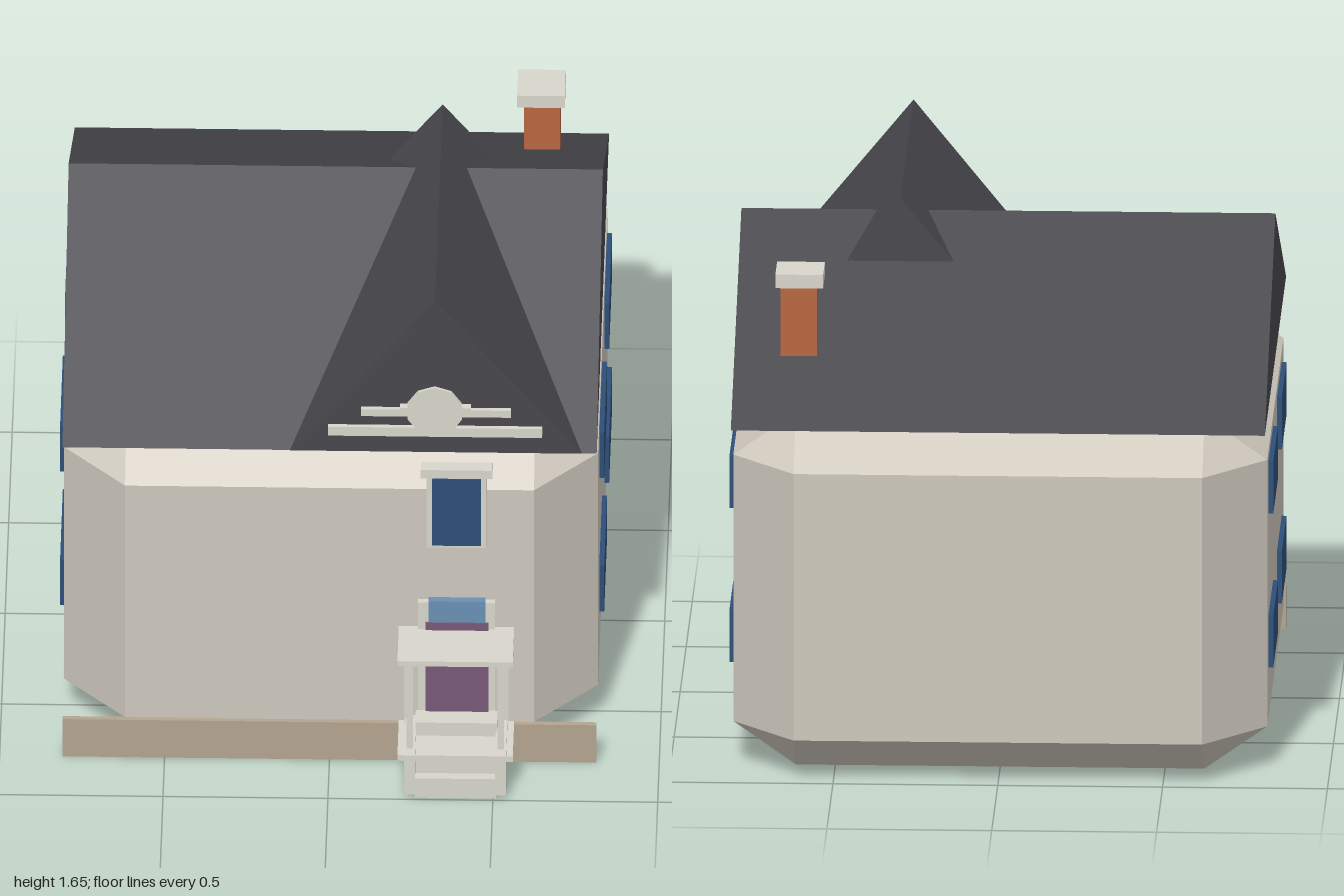
import * as THREE from 'three';
import { ConvexGeometry } from 'three/addons/geometries/ConvexGeometry.js';

const mat = (color) => new THREE.MeshStandardMaterial({ color, flatShading: true });
const WALL = mat(0xcec8bd), ROOF = mat(0x48474c), TRIM = mat(0xd8d6cb), GLASS = mat(0x2c4f78);
const BRICK = mat(0xb8663f), DOOR = mat(0x785878), PALE_GLASS = mat(0x6a90b4), TAN = mat(0xb3a48f);

export function createModel() {
  const house = new THREE.Group();
  house.name = 'house';

  const add = (name, geometry, material) => {
    const mesh = new THREE.Mesh(geometry, material);
    mesh.name = name;
    house.add(mesh);
    return mesh;
  };
  // Box given by its minimum and maximum on each axis
  const box = (name, material, x0, x1, y0, y1, z0, z1) => {
    const mesh = add(name, new THREE.BoxGeometry(x1 - x0, y1 - y0, z1 - z0), material);
    mesh.position.set((x0 + x1) / 2, (y0 + y1) / 2, (z0 + z1) / 2);
    return mesh;
  };
  // Triangular prism extruded along z from a base line and an apex
  const prism = (a, b, apex, y0, y1, depth) => {
    const shape = new THREE.Shape([
      new THREE.Vector2(a, y0), new THREE.Vector2(b, y0), new THREE.Vector2(apex, y1),
    ]);
    return new THREE.ExtrudeGeometry(shape, { depth, bevelEnabled: false });
  };

  // Walls: a box with every edge and corner cut off
  const half = [0.81, 0.555, 0.885], inner = [0.62, 0.42, 0.675];
  const points = [];
  for (const sx of [-1, 1]) for (const sy of [-1, 1]) for (const sz of [-1, 1]) {
    for (let axis = 0; axis < 3; axis++) {
      const c = inner.map((v, i) => (i === axis ? half[i] : v));
      points.push(new THREE.Vector3(sx * c[0], sy * c[1], sz * c[2]));
    }
  }
  add('walls', new ConvexGeometry(points), WALL).position.set(0, 0.555, -0.115);

  // Main roof with its ridge along x, and the front gable with its ridge along z
  const mainRoof = add('mainRoof', prism(-0.768, 0.998, 0.115, 1.11, 1.56, 1.62), ROOF);
  mainRoof.rotation.y = Math.PI / 2;
  mainRoof.position.x = -0.81;
  add('frontGable', prism(-0.12, 0.765, 0.32, 1.11, 1.655, 1.09), ROOF).position.z = -0.32;

  // Gable ornament
  box('gableLowerBar', TRIM, -0.005, 0.645, 1.175, 1.207, 0.765, 0.785);
  box('gableMiddleBar', TRIM, 0.095, 0.55, 1.247, 1.272, 0.765, 0.785);
  box('gableUpperBar', TRIM, 0.215, 0.43, 1.285, 1.305, 0.80, 0.825);
  const disc = add('gableDisc', new THREE.CylinderGeometry(0.087, 0.087, 0.01, 10), TRIM);
  disc.rotation.x = Math.PI / 2;
  disc.position.set(0.32, 1.295, 0.826);

  // Chimney
  box('chimney', BRICK, 0.56, 0.67, 1.07, 1.48, -0.70, -0.59);
  box('chimneyCap', TRIM, 0.54, 0.685, 1.48, 1.523, -0.718, -0.573);

  // Side windows
  for (const side of [-1, 1]) for (const y of [0.295, 0.78]) for (const z of [-0.70, 0.01]) {
    const x = side * 0.81;
    box('sideWindow', GLASS, x - 0.015, x + 0.015, y, y + 0.165, z, z + 0.39);
  }

  // Front window
  box('windowFrame', TRIM, 0.295, 0.477, 0.78, 1.05, 0.765, 0.795);
  box('windowGlass', GLASS, 0.312, 0.46, 0.79, 1.03, 0.775, 0.80);
  box('windowHead', TRIM, 0.277, 0.495, 1.047, 1.077, 0.775, 0.82);

  // Front door
  box('doorFrame', TRIM, 0.268, 0.502, 0.13, 0.577, 0.765, 0.79);
  box('door', DOOR, 0.292, 0.482, 0.185, 0.507, 0.775, 0.797);
  box('transomWindow', PALE_GLASS, 0.30, 0.473, 0.512, 0.587, 0.775, 0.80);

  // Porch: deck, canopy, posts, cheek walls and steps
  box('porchDeck', TRIM, 0.21, 0.56, 0.12, 0.14, 0.775, 0.97);
  box('porchCanopy', TRIM, 0.21, 0.56, 0.463, 0.481, 0.775, 0.97);
  for (const side of [-1, 1]) {
    const x = 0.385 + side * 0.138;
    box('porchPost', TRIM, x - 0.01, x + 0.01, 0.14, 0.463, 0.94, 0.96);
    box('wallPost', TRIM, x + side * 0.01 - 0.01, x + side * 0.01 + 0.01, 0.02, 0.463, 0.775, 0.795);
    box('porchCheek', TRIM, x - 0.017, x + 0.017, 0.017, 0.158, 0.775, 0.998);
  }
  box('lowerStep', TRIM, 0.262, 0.51, 0, 0.07, 0.91, 0.99);
  box('middleStep', TRIM, 0.262, 0.51, 0.07, 0.12, 0.85, 0.96);
  box('doorStep', TRIM, 0.262, 0.51, 0.14, 0.187, 0.79, 0.86);

  // Plinth board along the front
  box('plinthBoard', TAN, -0.81, 0.81, 0, 0.135, 0.768, 0.785);

  return house;
}
